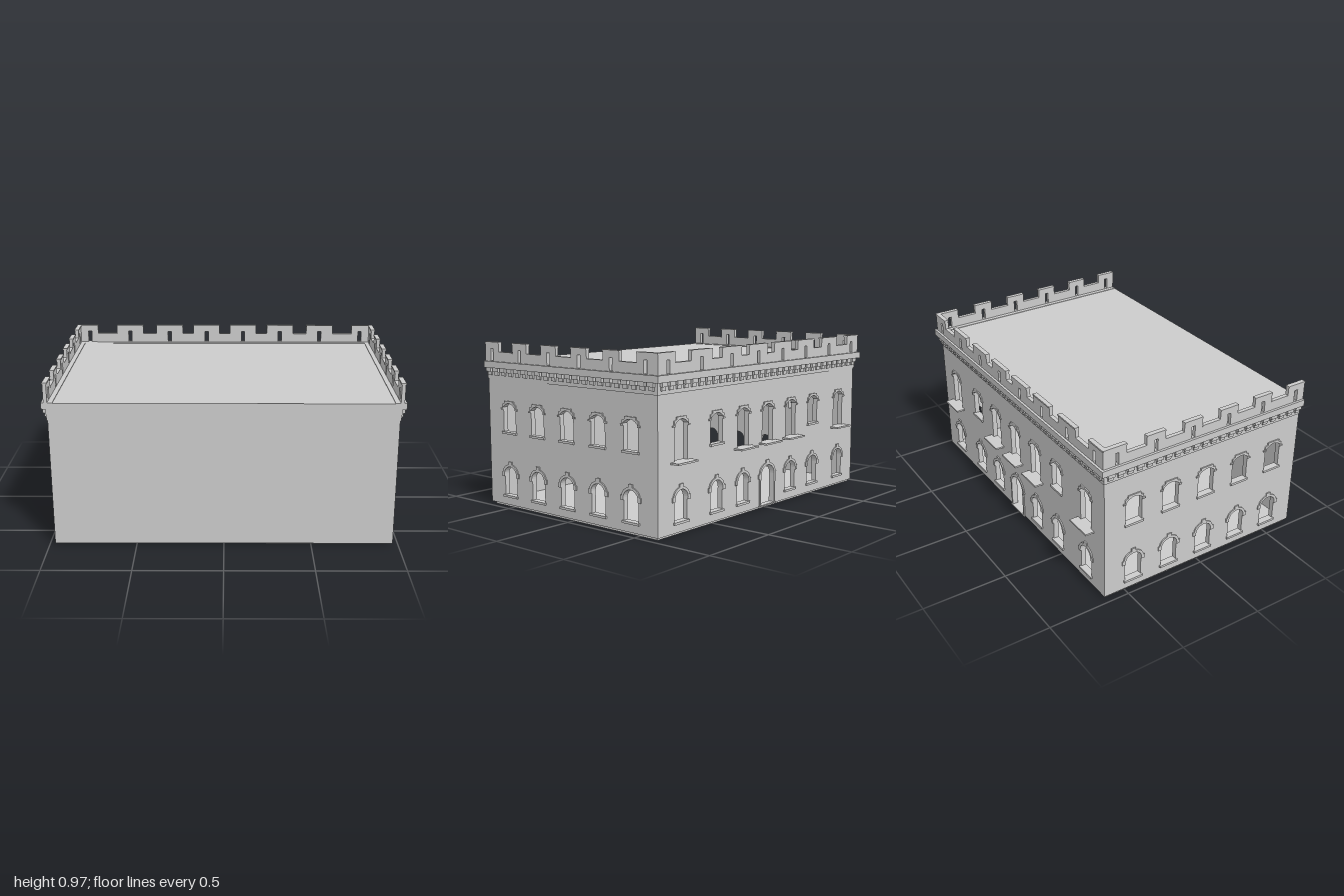
import * as THREE from 'three';

const mat = new THREE.MeshStandardMaterial({ color: 0xcccccc, flatShading: true, side: THREE.DoubleSide });
const HX = 0.967, BACK = 0.637, FRONT = 0.69, THICK = 0.03;
const V = (x, y) => new THREE.Vector2(x, y);

function add(parent, geometry, name) {
  const m = new THREE.Mesh(geometry, mat);
  m.name = name;
  parent.add(m);
  return m;
}

// Box given by its extents
function block(parent, name, x0, x1, y0, y1, z0, z1) {
  const m = add(parent, new THREE.BoxGeometry(Math.abs(x1 - x0), y1 - y0, z1 - z0), name);
  m.position.set((x0 + x1) / 2, (y0 + y1) / 2, (z0 + z1) / 2);
}

// Flat shape pushed from depth z0 to z1
function slab(parent, name, shape, z0, z1) {
  const g = new THREE.ExtrudeGeometry(shape, { depth: z1 - z0, bevelEnabled: false });
  add(parent, g, name).position.z = z0;
}

// Opening types: half width, bottom, springing and crown heights
const TYPES = {
  lower: { h: 0.052, y0: 0.07, spring: 0.195, top: 0.243, round: true },
  upper: { h: 0.052, y0: 0.447, spring: 0.592, top: 0.617 },
  balcony: { h: 0.052, y0: 0.395, spring: 0.592, top: 0.617 },
  door: { h: 0.066, y0: 0.018, spring: 0.195, top: 0.255, round: true },
};

// Arch points from the left springing to the right one
function arch(u, h, spring, top, round) {
  const pts = [], n = 14;
  for (let i = 0; i <= n; i++) {
    const t = i / n, a = Math.PI * (1 - t);
    pts.push(round
      ? V(u + h * Math.cos(a), spring + (top - spring) * Math.sin(a))
      : V(u + h * (2 * t - 1), spring + (top - spring) * 4 * t * (1 - t)));
  }
  return pts;
}

function surround(parent, u, kind) {
  const { h, y0, spring, top, round } = TYPES[kind];
  const inner = arch(u, h, spring, top, round);
  const isDoor = kind === 'door';
  const foot = isDoor ? 0.018 : spring - 0.014;
  let outer;
  if (round) {
    // Arched hood with ears and a raised keystone
    const r = arch(u, h + 0.012, spring + 0.012, top + 0.014, true);
    const crown = top + 0.03;
    const left = r.filter(p => p.x < u - 0.014), right = r.filter(p => p.x > u + 0.014);
    const ear = s => [V(u + s * (h + 0.021), spring - 0.014), V(u + s * (h + 0.021), spring + 0.012)];
    const jamb = s => (isDoor ? [V(u + s * (h + 0.012), foot), V(u + s * (h + 0.012), spring - 0.014)] : []);
    outer = [...jamb(-1), ...ear(-1), ...left, V(u - 0.014, top + 0.014), V(u - 0.014, crown),
      V(u + 0.014, crown), V(u + 0.014, top + 0.014), ...right, ...ear(1).reverse(), ...jamb(1).reverse()];
  } else {
    // Stepped hood
    const half = [[0.070, foot], [0.070, foot + 0.009], [0.059, foot + 0.009], [0.059, 0.609], [0.041, 0.616], [0.041, 0.63]];
    outer = [...half.map(([x, y]) => V(u - x, y)), ...half.slice().reverse().map(([x, y]) => V(u + x, y))];
  }
  const ring = [...outer, V(u + h, foot), ...inner.slice().reverse(), V(u - h, foot)];
  slab(parent, kind + 'Surround', new THREE.Shape(ring), -0.004, 0.007);
  if (kind === 'balcony') block(parent, 'balconySlab', u - 0.082, u + 0.082, 0.385, 0.395, -THICK, FRONT - BACK);
  else if (!isDoor) block(parent, 'sill', u - 0.06, u + 0.06, y0 - 0.011, y0 + 0.002, -THICK, 0.011);
  else block(parent, 'threshold', u - 0.082, u + 0.082, 0.015, 0.022, -THICK, 0.011);
}

// Wall with openings; local z = 0 is its outer face
function wall(parent, a, b, openings) {
  const shape = new THREE.Shape([V(a, 0.015), V(b, 0.015), V(b, 0.83), V(a, 0.83)]);
  for (const [u, kind] of openings) {
    const { h, y0, spring, top, round } = TYPES[kind];
    shape.holes.push(new THREE.Path([V(u - h, y0), V(u + h, y0), ...arch(u, h, spring, top, round).reverse()]));
    surround(parent, u, kind);
  }
  slab(parent, 'wall', shape, -THICK, 0);
}

// String course, paired brackets and top band; e0 and e1 lengthen the ends
function cornice(parent, a, b, e0, e1) {
  const band = (name, y0, y1, d) => block(parent, name, a - e0 * d, b + e1 * d, y0, y1, -THICK, d);
  band('stringCourse', 0.755, 0.775, 0.005);
  band('frieze', 0.775, 0.82, 0.008);
  band('corniceBand', 0.82, 0.858, 0.033);
  const n = Math.round((b - a) / 0.0605), step = (b - a) / n;
  for (let i = 0; i < n; i++) {
    const u = a + (i + 0.5) * step;
    block(parent, 'bracketFoot', u - 0.016, u + 0.016, 0.776, 0.8, 0, 0.017);
    block(parent, 'bracketHead', u - 0.021, u + 0.021, 0.797, 0.821, 0, 0.026);
  }
}

// Battlements: merlons as [start, end, slot centre]
function battlement(parent, merlons) {
  const gapY = 0.91, topY = 0.962, y0 = 0.855, zi = -0.002, zo = 0.019;
  const a = merlons[0][0], b = merlons[merlons.length - 1][1];
  const pts = [V(b, y0), V(a, y0)];
  for (const [m0, m1] of merlons) {
    if (m0 !== a) pts.push(V(m0, gapY));
    pts.push(V(m0, topY), V(m1, topY));
    if (m1 !== b) pts.push(V(m1, gapY));
  }
  const shape = new THREE.Shape(pts);
  merlons.forEach(([m0, m1, s], i) => {
    shape.holes.push(new THREE.Path([V(s - 0.011, 0.861), V(s + 0.011, 0.861), V(s + 0.011, 0.931), V(s - 0.011, 0.931)]));
    block(parent, 'merlonCap', m0, m1, topY, 0.971, zi - 0.003, zo + 0.003);
    if (i) block(parent, 'crenelSill', merlons[i - 1][1], m0, gapY - 0.002, gapY + 0.005, zi - 0.001, zo + 0.001);
  });
  slab(parent, 'parapet', shape, zi, zo);
}

export function createModel() {
  const model = new THREE.Group();
  model.name = 'battlementedBuilding';

  // Base, floor, roof deck and plain front wall
  block(model, 'base', -0.957, 0.957, 0, 0.015, -0.625, 0.665);
  block(model, 'floor', -HX + 0.002, HX - 0.002, 0.012, 0.018, -BACK + 0.002, FRONT - 0.002);
  block(model, 'roofDeck', -HX, HX, 0.825, 0.855, -BACK, FRONT);
  block(model, 'frontWall', -HX, HX, 0.015, 0.855, FRONT - THICK, FRONT);

  // Right and left sides
  const bays = [0.51, 0.27, 0.03, -0.21, -0.45];
  const slots = [0.63, 0.39, 0.15, -0.09, -0.33, -0.572];
  for (const s of [1, -1]) {
    const side = new THREE.Group();
    side.name = s > 0 ? 'rightSide' : 'leftSide';
    side.rotation.y = s * Math.PI / 2;
    side.position.x = s * HX;
    const span = (p, q) => [-s * p, -s * q].sort((m, n) => m - n);
    const [a, b] = span(FRONT, -BACK);
    wall(side, a, b, bays.flatMap(z => [[-s * z, 'lower'], [-s * z, 'upper']]));
    cornice(side, a, b, s > 0 ? 0 : 1, s > 0 ? 1 : 0);
    const merlons = slots.map((c, i) => [
      ...span(i === 0 ? FRONT : c + 0.06, i === 5 ? -BACK - 0.019 : c - 0.06), -s * c]);
    battlement(side, merlons.sort((m, n) => m[0] - n[0]));
    model.add(side);
  }

  // Back with door and balconies (local x runs opposite to world x)
  const back = new THREE.Group();
  back.name = 'backSide';
  back.rotation.y = Math.PI;
  back.position.z = -BACK;
  const columns = [0.785, 0.483, 0.24, 0, -0.24, -0.483, -0.785];
  wall(back, -HX + 0.001, HX - 0.001, columns.flatMap((u, i) => [
    [u, i === 3 ? 'door' : 'lower'], [u, i === 1 || i === 5 ? 'upper' : 'balcony']]));
  cornice(back, -HX, HX, 1, 1);
  const backSlots = [-0.905, -0.635, -0.37, -0.122, 0.122, 0.37, 0.635, 0.905];
  battlement(back, backSlots.map((c, i) => [
    i === 0 ? -HX - 0.019 : c - (i === 7 ? 0.055 : 0.088), i === 7 ? HX + 0.019 : c + (i === 0 ? 0.055 : 0.088), c]));
  model.add(back);
  return model;
}
